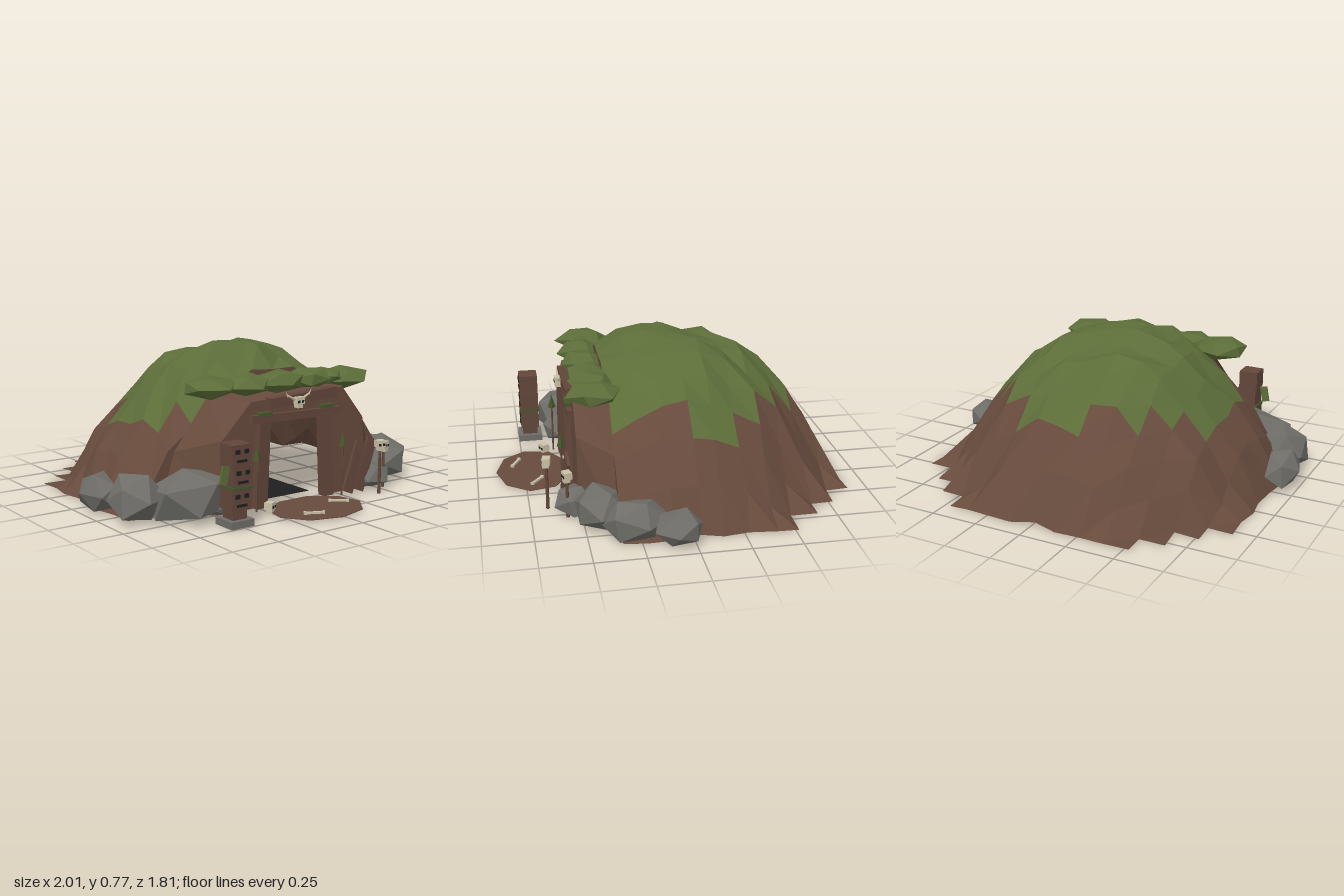
import * as THREE from 'three';
import { mergeVertices } from 'three/addons/utils/BufferGeometryUtils.js';

const mat = (name, color, double = false) => {
  const m = new THREE.MeshStandardMaterial({ color, flatShading: true, side: double ? THREE.DoubleSide : THREE.FrontSide });
  m.name = name;
  return m;
};

export function createModel() {
  const group = new THREE.Group();
  const earth = mat('earth', 0x674b3d, true), moss = mat('moss', 0x5c6d39, true);
  const stone = mat('stone', 0x6e6d68), wood = mat('wood', 0x62463a);
  const innerEarth = mat('innerEarth', 0x674b3d), dark = mat('dark', 0x1e1e1e, true);
  const bone = mat('bone', 0xc9c0a6), leaf = mat('leaf', 0x46562c);

  let seed = 7;
  const rnd = () => ((seed = (seed * 16807) % 2147483647) / 2147483647) * 2 - 1;

  const add = (name, geo, material, x = 0, y = 0, z = 0, rx = 0, ry = 0, rz = 0, parent = group) => {
    const m = new THREE.Mesh(geo, material);
    m.name = name;
    m.position.set(x, y, z);
    m.rotation.set(rx, ry, rz);
    parent.add(m);
    return m;
  };
  const box = (name, w, h, d, material, ...rest) => add(name, new THREE.BoxGeometry(w, h, d), material, ...rest);
  const fromPoints = (pts) => {
    const g = new THREE.BufferGeometry().setFromPoints(pts);
    g.computeVertexNormals();
    return g;
  };

  // Mound: a jittered height grid
  const cols = 14, rows = 10, grid = [];
  for (let j = 0; j <= rows; j++) {
    grid.push([]);
    for (let i = 0; i <= cols; i++) {
      const x = (i - 7) * 0.125, z = -0.9 + j * 0.124;
      const r2 = (x / 0.88) ** 2 + (z / 0.91) ** 2;
      let y = Math.max(0, 0.758 * (1 - r2 ** (1.1 + 0.3 * Math.max(0, -z))));
      if (y > 0.03) y += rnd() * 0.028;
      grid[j].push(new THREE.Vector3(x - 0.02 + rnd() * 0.014, y, j === rows ? 0.34 : z + rnd() * 0.012));
    }
  }
  // First and last mossy column in each row, from back to front
  const mossSpan = [[1, 0], [1, 0], [6, 8], [4, 9], [3, 10], [2, 11], [2, 11], [2, 10], [2, 10], [3, 10]];
  const earthPts = [], mossPts = [];
  for (let j = 0; j < rows; j++) {
    for (let i = 0; i < cols; i++) {
      const a = grid[j][i], b = grid[j][i + 1], c = grid[j + 1][i], d = grid[j + 1][i + 1];
      if (Math.max(a.y, b.y, c.y, d.y) < 0.005) continue;
      const mossy = i >= mossSpan[j][0] && i <= mossSpan[j][1];
      (mossy ? mossPts : earthPts).push(a, c, b, b, c, d);
    }
  }
  add('moundEarth', fromPoints(earthPts), earth);
  add('moundMoss', fromPoints(mossPts), moss);

  // Wall under the front edge of the mound, open behind the entrance
  const edge = grid[rows], wallPts = [];
  const foot = (p) => new THREE.Vector3(p.x, Math.abs(p.x) < 0.48 ? Math.min(p.y, 0.5) : 0, p.z);
  for (let i = 0; i < cols; i++) {
    const a = edge[i], b = edge[i + 1];
    wallPts.push(foot(a), foot(b), b, foot(a), b, a);
  }
  add('frontWall', fromPoints(wallPts), earth);

  // Faceted entrance standing forward of the wall
  const front = [[-0.49, 0], [-0.46, 0.36], [-0.29, 0.53], [0.29, 0.55], [0.43, 0.38], [0.47, 0]];
  const back = [[-0.72, 0], [-0.62, 0.3], [-0.42, 0.56], [0.4, 0.57], [0.57, 0.33], [0.66, 0]];
  const sidePts = [];
  for (let i = 0; i < front.length - 1; i++) {
    const f = (k) => new THREE.Vector3(front[k][0], front[k][1], 0.51);
    const b = (k) => new THREE.Vector3(back[k][0], back[k][1], 0.34);
    sidePts.push(f(i), f(i + 1), b(i + 1), f(i), b(i + 1), b(i));
  }
  add('entranceSides', fromPoints(sidePts), earth);
  const face = [...front, [0.15, 0], [0.14, 0.42], [-0.19, 0.42], [-0.2, 0]].map((p) => new THREE.Vector2(...p));
  add('entranceFace', new THREE.ShapeGeometry(new THREE.Shape(face)), earth, 0, 0, 0.51);

  // Inner chamber: rear panel seen from behind, dark backing and dark floor
  add('innerPanel', new THREE.PlaneGeometry(1.05, 0.49), innerEarth, -0.025, 0.245, 0.08, 0, Math.PI);
  add('doorDarkness', new THREE.PlaneGeometry(0.35, 0.43), dark, -0.025, 0.215, 0.075);
  add('doorFloor', new THREE.PlaneGeometry(0.35, 0.35), dark, -0.025, 0.006, 0.25, -Math.PI / 2);

  // Timber door frame
  box('doorPost', 0.07, 0.43, 0.05, wood, -0.235, 0.215, 0.515, 0, 0.1, -0.05);
  box('doorPost', 0.06, 0.43, 0.05, wood, 0.175, 0.215, 0.515, 0, -0.1, 0.05);
  box('lintel', 0.56, 0.04, 0.05, wood, -0.02, 0.44, 0.51, 0, 0, -0.02);
  box('upperBeam', 0.42, 0.05, 0.05, wood, 0.02, 0.525, 0.515, 0, 0, 0.05);
  for (const x of [-0.22, 0.17]) box('lintelMoss', 0.075, 0.018, 0.055, leaf, x, 0.467, 0.515);

  // Stones and moss clumps: uneven icosahedra, cut off at the ground
  const lump = (name, material, x, y, z, sx, sy, sz) => {
    let g = new THREE.IcosahedronGeometry(1, 0);
    g.deleteAttribute('uv');
    g.deleteAttribute('normal');
    g = mergeVertices(g);
    g.rotateY(rnd() * 3).rotateX(rnd());
    const p = g.attributes.position;
    for (let i = 0; i < p.count; i++) {
      const k = 1 + rnd() * 0.1;
      p.setXYZ(i, p.getX(i) * k * sx, Math.max(0.012 - y, p.getY(i) * k * sy), p.getZ(i) * k * sz);
    }
    g = g.toNonIndexed();
    g.computeVertexNormals();
    add(name, g, material, x, y, z);
  };
  const rocks = [
    [-0.91, 0.09, 0.11, 0.09, 0.11, 0.15], [-0.84, 0.1, 0.34, 0.14, 0.13, 0.15],
    [-0.6, 0.1, 0.45, 0.23, 0.15, 0.2], [-0.47, 0.06, 0.5, 0.12, 0.1, 0.12],
    [0.89, 0.08, 0.08, 0.115, 0.09, 0.125], [0.8, 0.09, 0.27, 0.12, 0.12, 0.18],
    [0.65, 0.1, 0.42, 0.17, 0.12, 0.15], [0.47, 0.06, 0.53, 0.11, 0.08, 0.11],
  ];
  for (const r of rocks) lump('boulder', stone, ...r);
  const clumps = [
    [-0.45, 0.6, 0.38, 0.145, 0.058, 0.145], [-0.25, 0.6, 0.42, 0.13, 0.06, 0.11],
    [-0.06, 0.6, 0.42, 0.15, 0.06, 0.12], [0.14, 0.6, 0.42, 0.14, 0.058, 0.12],
    [0.37, 0.585, 0.41, 0.145, 0.055, 0.14], [0.25, 0.6, 0.41, 0.1, 0.05, 0.12],
  ];
  for (const c of clumps) lump('mossClump', moss, ...c);

  // Trodden earth in front of the door, with loose bones
  const patch = add('dirtPatch', new THREE.CylinderGeometry(0.255, 0.255, 0.004, 9), earth, -0.03, 0.008, 0.7);
  patch.scale.z = 0.78;
  const looseBone = (x, z, angle) => {
    const g = new THREE.Group();
    g.name = 'looseBone';
    g.position.set(x, 0.018, z);
    g.rotation.y = angle;
    box('shaft', 0.09, 0.01, 0.014, bone, 0, 0, 0, 0, 0, 0, g);
    for (const s of [-1, 1]) box('knuckle', 0.012, 0.014, 0.018, bone, s * 0.045, 0, 0, 0, 0, 0, g);
    group.add(g);
  };
  looseBone(-0.12, 0.79, -0.45);
  looseBone(0.12, 0.69, -0.65);

  // Skulls
  const skull = (x, y, z, ry = 0, horns = false) => {
    const g = new THREE.Group();
    g.name = 'skull';
    g.position.set(x, y, z);
    g.rotation.y = ry;
    box('cranium', 0.048, 0.036, 0.04, bone, 0, 0.008, 0, 0, 0, 0, g);
    box('jaw', 0.032, 0.02, 0.032, bone, 0, -0.018, 0.002, 0, 0, 0, g);
    for (const s of [-1, 1]) {
      box('eye', 0.012, 0.012, 0.004, dark, s * 0.012, 0.004, 0.021, 0, 0, 0, g);
      if (!horns) continue;
      add('horn', new THREE.CylinderGeometry(0.005, 0.007, 0.05, 5), bone, s * 0.044, 0.025, 0, 0, 0, -s * 1.1, g);
      add('hornTip', new THREE.ConeGeometry(0.005, 0.035, 5), bone, s * 0.074, 0.047, 0, 0, 0, -s * 0.5, g);
    }
    group.add(g);
  };
  skull(-0.03, 0.51, 0.55, 0, true);
  skull(-0.26, 0.03, 0.625, 0.5);
  for (const [x, y, z, ry] of [[0.42, 0.255, 0.66, -0.2], [0.53, 0.22, 0.57, 0.3]]) {
    skull(x, y, z, ry);
    add('skullPole', new THREE.CylinderGeometry(0.007, 0.009, y - 0.025, 6), wood, x, (y - 0.025) / 2, z);
  }

  // Spears beside the door
  for (const x of [-0.3, 0.245]) {
    add('spearShaft', new THREE.CylinderGeometry(0.005, 0.005, 0.26, 6), wood, x, 0.13, 0.57);
    add('spearTip', new THREE.ConeGeometry(0.022, 0.075, 4), leaf, x, 0.295, 0.57);
  }

  // Leaning planks
  for (const [x, h] of [[0.31, 0.27], [0.385, 0.28]]) {
    box('leaningPlank', 0.065, h, 0.015, wood, x + 0.02, h / 2, 0.565, -0.08, 0, -0.4);
  }

  // Carved totem on a slab
  box('totemSlab', 0.13, 0.035, 0.13, stone, -0.51, 0.018, 0.685);
  box('totemFoot', 0.08, 0.05, 0.08, wood, -0.51, 0.06, 0.685);
  [0.13, 0.24, 0.34].forEach((y, i) => {
    const x = -0.507 + (i % 2) * 0.006;
    box('totemBlock', 0.105, 0.1, 0.1, wood, x, y, 0.685);
    for (const s of [-1, 1]) box('totemEye', 0.024, 0.02, 0.006, dark, x + s * 0.025, y + 0.018, 0.737);
    box('totemMouth', 0.055, 0.012, 0.006, dark, x, y - 0.026, 0.737);
  });
  box('totemMoss', 0.115, 0.016, 0.11, leaf, -0.505, 0.185, 0.685);
  box('totemLeaf', 0.04, 0.085, 0.012, moss, -0.585, 0.25, 0.705, 0, 0, -0.2);

  return group;
}
